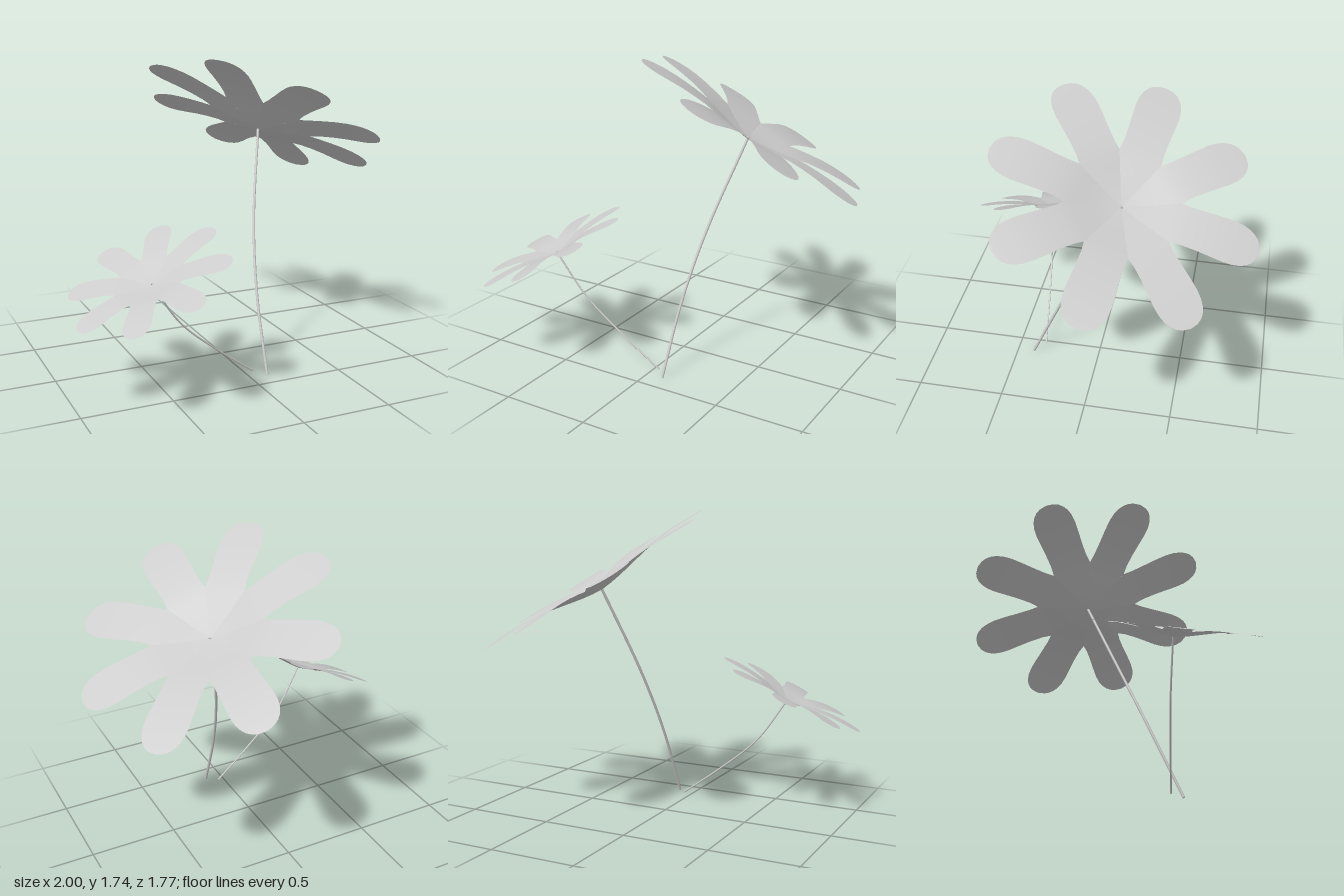
import * as THREE from 'three';

const R = 0.735; // centre to petal tip of the large flower
const v3 = (p) => new THREE.Vector3(...p);

// Petal stations: distance from centre, half width, height of the bowl
const STATIONS = [
  [0.004, 0.0016, 0], [0.06, 0.025, 0.006], [0.12, 0.05, 0.016], [0.18, 0.0745, 0.029],
  [0.24, 0.0994, 0.043], [0.285, 0.118, 0.053], [0.34, 0.113, 0.062], [0.42, 0.115, 0.070],
  [0.5, 0.12, 0.075], [0.57, 0.123, 0.076], [0.62, 0.119, 0.075], [0.66, 0.108, 0.074],
  [0.69, 0.091, 0.073], [0.712, 0.07, 0.072], [0.727, 0.043, 0.071], [R, 0.004, 0.07],
];

// One petal along +x: rows across the petal, bowl-shaped near the centre
function petalGeometry() {
  const cols = 8, pos = [], index = [];
  STATIONS.forEach(([r, w, h], i) => {
    for (let j = 0; j <= cols; j++) pos.push(r, h, w * (2 * j / cols - 1));
    if (i === 0) return;
    for (let j = 0; j < cols; j++) {
      const a = (i - 1) * (cols + 1) + j, b = a + cols + 1;
      index.push(a, a + 1, b, b, a + 1, b + 1);
    }
  });
  const geo = new THREE.BufferGeometry();
  geo.setAttribute('position', new THREE.Float32BufferAttribute(pos, 3));
  geo.setIndex(index);
  geo.computeVertexNormals();
  return geo;
}

export function createModel() {
  const model = new THREE.Group();
  model.name = 'flowers';
  const petalMat = new THREE.MeshStandardMaterial({ color: 0xcccccc, side: THREE.DoubleSide });
  const stemMat = new THREE.MeshStandardMaterial({ color: 0xcccccc });
  const petalGeo = petalGeometry();

  function addFlower({ name, base, normal, petalDir, scale, stem, stemRadius }) {
    const flower = new THREE.Group();
    flower.name = name;

    // Blossom: eight petals around the tilted axis
    const blossom = new THREE.Group();
    blossom.name = 'blossom';
    const y = v3(normal).normalize();
    const x = v3(petalDir).addScaledVector(y, -v3(petalDir).dot(y)).normalize();
    const z = new THREE.Vector3().crossVectors(x, y);
    blossom.quaternion.setFromRotationMatrix(new THREE.Matrix4().makeBasis(x, y, z));
    blossom.position.set(...base);
    blossom.scale.setScalar(scale);
    for (let i = 0; i < 8; i++) {
      const petal = new THREE.Mesh(petalGeo, petalMat);
      petal.name = 'petal';
      petal.rotation.y = i * Math.PI / 4;
      blossom.add(petal);
    }

    // Stem: thin curved tube with closed ends, just reaching through the centre
    const points = [...stem.map(v3), v3(base).addScaledVector(y, 0.006)];
    const curve = new THREE.CatmullRomCurve3(points);
    const tube = new THREE.Mesh(new THREE.TubeGeometry(curve, 32, stemRadius, 8), stemMat);
    tube.name = 'stem';
    flower.add(blossom, tube);
    for (const t of [0, 1]) {
      const cap = new THREE.Mesh(new THREE.CircleGeometry(stemRadius, 8), stemMat);
      cap.name = 'stemEnd';
      cap.position.copy(curve.getPoint(t));
      const out = curve.getTangent(t).multiplyScalar(t ? 1 : -1);
      cap.quaternion.setFromUnitVectors(new THREE.Vector3(0, 0, 1), out);
      flower.add(cap);
    }
    model.add(flower);
  }

  addFlower({
    name: 'largeFlower', scale: 1, stemRadius: 0.008,
    base: [0.313, 1.3, -0.172], normal: [0.461, 0.848, -0.262], petalDir: [0.03, -0.45, -1.4],
    stem: [[0.1, 0.01, 0.4], [0.122, 0.42, 0.22], [0.182, 0.8, 0.05]],
  });
  addFlower({
    name: 'smallFlower', scale: 0.614, stemRadius: 0.005,
    base: [-0.586, 0.637, 0.432], normal: [-0.419, 0.891, 0.171], petalDir: [-0.21, 0.07, -0.88],
    stem: [[0.04, 0.02, 0.338], [-0.18, 0.185, 0.363], [-0.41, 0.385, 0.394]],
  });
  return model;
}
